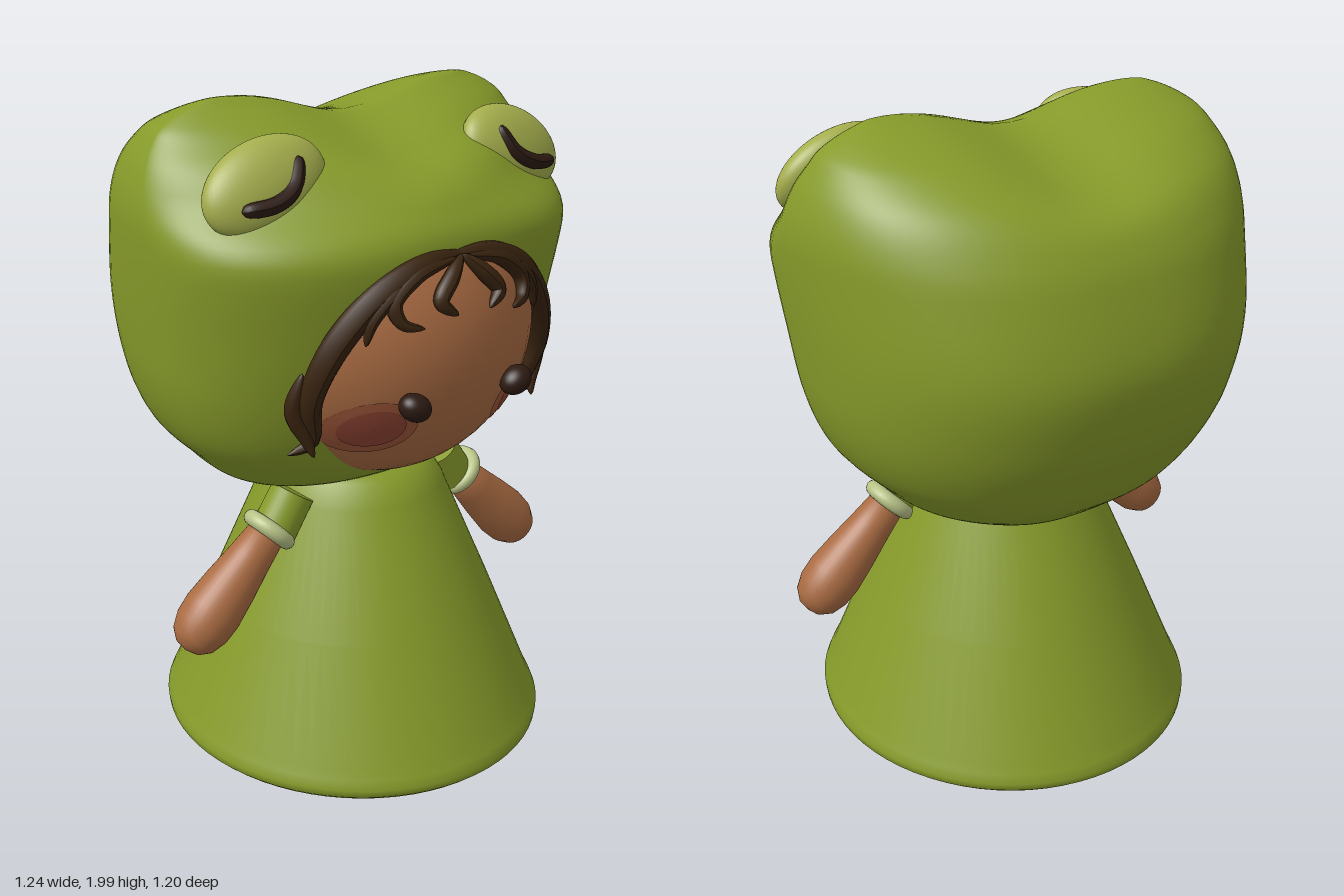
import * as THREE from 'three';

const material = (color) => new THREE.MeshStandardMaterial({ color, roughness: 0.8, side: THREE.DoubleSide });
const V = (x, y, z) => new THREE.Vector3(x, y, z);
const smooth = THREE.MathUtils.smoothstep;

export function createModel() {
  const model = new THREE.Group();
  model.name = 'hoodedDoll';
  const green = material(0x869a2a);
  const paleGreen = material(0xa4ad4c);
  const cuffGreen = material(0xb9c488);
  const skin = material(0xa96b42);
  const hairBrown = material(0x38230f);
  const dark = material(0x2c1a12);

  const add = (name, geometry, mat, parent = model) => {
    const mesh = new THREE.Mesh(geometry, mat);
    mesh.name = name;
    parent.add(mesh);
    return mesh;
  };
  const lathe = (points, segments = 48) => new THREE.LatheGeometry(points.map(([r, y]) => new THREE.Vector2(r, y)), segments);
  const ellipsoid = (name, mat, pos, size) => {
    const mesh = add(name, new THREE.SphereGeometry(1, 48, 32), mat);
    mesh.position.set(...pos);
    mesh.scale.set(...size);
    return mesh;
  };

  // Hood: lofted rings, each row is height, half width, front z, back z
  add('hood', hoodGeometry([
    [0.9, 0.001, -0.12, -0.122], [0.905, 0.08, -0.05, -0.18], [0.93, 0.2, 0.05, -0.29],
    [1.0, 0.37, 0.21, -0.39], [1.06, 0.44, 0.28, -0.455], [1.15, 0.52, 0.335, -0.51],
    [1.28, 0.57, 0.38, -0.565], [1.46, 0.595, 0.425, -0.6], [1.66, 0.612, 0.45, -0.555],
    [1.76, 0.61, 0.4, -0.51], [1.84, 0.588, 0.325, -0.45], [1.9, 0.555, 0.23, -0.36],
    [1.94, 0.52, 0.16, -0.27], [1.98, 0.44, 0.07, -0.14], [1.998, 0.34, 0.02, -0.05],
    [2.0, 0.001, -0.01, -0.012],
  ]), green);

  // Face, emerging from the front of the hood
  const faceCentre = [0, 1.42, 0.15], faceSize = [0.42, 0.41, 0.37];
  ellipsoid('face', skin, faceCentre, faceSize);
  const faceZ = (x, y) => 0.15 + 0.37 * Math.sqrt(Math.max(0, 1 - (x / 0.42) ** 2 - ((y - 1.42) / 0.41) ** 2));

  // Tapered, curved strand
  const strand = (name, points, radius, mat, taper) => {
    const curve = new THREE.CatmullRomCurve3(points);
    const n = 32, sides = 10;
    const geometry = new THREE.TubeGeometry(curve, n, radius, sides);
    const pos = geometry.attributes.position, p = V(0, 0, 0);
    for (let i = 0; i <= n; i++) {
      const centre = curve.getPointAt(i / n);
      for (let j = 0; j <= sides; j++) {
        const k = i * (sides + 1) + j;
        p.fromBufferAttribute(pos, k).sub(centre).multiplyScalar(taper(i / n)).add(centre);
        pos.setXYZ(k, p.x, p.y, p.z);
      }
    }
    geometry.computeVertexNormals();
    return add(name, geometry, mat);
  };
  const pointed = (t) => 0.06 + 0.94 * Math.pow(Math.sin(Math.PI * t), 0.6);
  const blunt = (t) => Math.sqrt(Math.max(0.01, 1 - Math.pow(Math.abs(2 * t - 1), 8)));

  for (const [side, s] of [['left', 1], ['right', -1]]) {
    // Cheek blush, laid over the face
    [[0.1, 0x9c5639], [0.07, 0x8e4433]].forEach(([radius, color], layer) => {
      const blush = new THREE.CircleGeometry(radius, 32);
      const pos = blush.attributes.position;
      const fan = new THREE.RingGeometry(0.001, radius, 32, 6);
      const fp = fan.attributes.position;
      for (let i = 0; i < fp.count; i++) {
        const x = s * 0.225 + fp.getX(i), y = 1.24 + fp.getY(i) * 0.8;
        fp.setXYZ(i, x, y, faceZ(x, y) + 0.003 + layer * 0.003);
      }
      fan.computeVertexNormals();
      add(side + 'Cheek', fan, material(color));
    });

    // Eyes
    const eye = ellipsoid(side + 'Eye', dark, [s * 0.163, 1.31, 0.503], [0.044, 0.035, 0.038]);
    eye.rotation.z = s * 0.5;

    // Hair framing the face
    strand(side + 'SideHair', [
      V(-s * 0.02, 1.655, 0.455), V(s * 0.1, 1.645, 0.455), V(s * 0.22, 1.585, 0.435), V(s * 0.325, 1.46, 0.395),
      V(s * 0.368, 1.33, 0.36), V(s * 0.35, 1.21, 0.335), V(s * 0.41, 1.185, 0.32),
    ], 0.036, hairBrown, pointed);
    strand(side + 'HairCurl', [
      V(s * 0.385, 1.4, 0.35), V(s * 0.4, 1.3, 0.33), V(s * 0.37, 1.22, 0.345), V(s * 0.36, 1.18, 0.36),
    ], 0.022, hairBrown, pointed);

    // Fringe
    [
      [[0.02, 1.65], [0.13, 1.625], [0.2, 1.565], [0.19, 1.52], [0.14, 1.505]],
      [[0, 1.655], [0.05, 1.61], [0.09, 1.56], [0.05, 1.525]],
      [[0.1, 1.63], [0.2, 1.585], [0.25, 1.53], [0.27, 1.47]],
    ].forEach((path) => strand(side + 'Fringe',
      path.map(([x, y]) => V(s * x, y, faceZ(x, y) + 0.016)), 0.022, hairBrown, pointed));

    // Sleepy eyes on top of the hood
    const hoodEye = ellipsoid(side + 'HoodEye', paleGreen, [s * 0.385, 1.82, 0.205], [0.168, 0.112, 0.065]);
    hoodEye.rotation.set(-0.38, s * 0.14, -s * 0.3);
    strand(side + 'HoodEyelid', [
      V(s * 0.31, 1.89, 0.235), V(s * 0.345, 1.825, 0.268), V(s * 0.4, 1.795, 0.278), V(s * 0.485, 1.785, 0.262),
    ], 0.02, dark, blunt);

    // Arm with sleeve and cuff
    const arm = new THREE.Group();
    arm.name = side + 'Arm';
    arm.position.set(s > 0 ? 0.315 : -0.335, 0.88, 0.115);
    arm.rotation.z = s * 0.78;
    model.add(arm);
    add('forearm', lathe([[0, -0.385], [0.035, -0.377], [0.062, -0.352], [0.077, -0.31], [0.08, -0.26],
      [0.072, -0.18], [0.06, -0.09], [0.05, 0], [0, 0.02]], 32), skin, arm);
    add('cuff', new THREE.TorusGeometry(0.056, 0.022, 12, 36).rotateX(Math.PI / 2), cuffGreen, arm);
    const sleeve = add('sleeve', new THREE.CylinderGeometry(0.06, 0.062, 0.13, 32), green, arm);
    sleeve.position.set(-s * 0.005, 0.055, 0);
    sleeve.rotation.z = -s * 0.2;

    // Leg
    const leg = add(side + 'Leg', lathe([[0, 0], [0.035, 0.007], [0.06, 0.03], [0.076, 0.08],
      [0.09, 0.16], [0.096, 0.25], [0, 0.25]], 32), skin);
    leg.position.set(s > 0 ? 0.153 : -0.19, s > 0 ? 0 : 0.015, 0.025);
  }

  // Dress with a rounded hem and closed base
  const dress = add('dress', lathe([[0, 0.22], [0.49, 0.22], [0.49, 0.215], [0.52, 0.217], [0.533, 0.23], [0.535, 0.25],
    [0.525, 0.275], [0.51, 0.305], [0.39, 0.6], [0.25, 0.93], [0.215, 0.99], [0.17, 1.01], [0, 1.01]], 72), green);
  dress.position.z = 0.03;
  dress.scale.z = 1.06;

  return model;
}

// Loft through rounded-square rings, flattened at the brow and dipped between the two top bumps
function hoodGeometry(rows, steps = 90, sides = 96) {
  const outline = new THREE.CatmullRomCurve3(rows.map(([y, w]) => new THREE.Vector3(w, y, 0)), false, 'catmullrom');
  const depth = new THREE.CatmullRomCurve3(rows.map(([, , f, b]) => new THREE.Vector3(f, b, 0)), false, 'catmullrom');
  const positions = [], index = [];
  const power = (v, e) => Math.sign(v) * Math.pow(Math.abs(v), 2 / e);
  for (let i = 0; i <= steps; i++) {
    const { x: w, y } = outline.getPoint(i / steps);
    const { x: front, y: back } = depth.getPoint(i / steps);
    const mid = back + (front - back) * 0.58;
    for (let j = 0; j < sides; j++) {
      const a = (j / sides) * Math.PI * 2, c = Math.cos(a), d = Math.sin(a);
      const e = d > 0 ? 2.3 - 0.7 * smooth(y, 1.64, 1.8) : 2.3;
      const x = w * power(c, e);
      const z = mid + (d > 0 ? front - mid : mid - back) * power(d, e);
      const dip = 0.07 * Math.exp(-((x / 0.2) ** 2)) * smooth(y, 1.75, 1.96);
      positions.push(x, y - dip, z);
      if (i < steps) {
        const p = i * sides + j, q = i * sides + (j + 1) % sides;
        index.push(p, p + sides, q + sides, p, q + sides, q);
      }
    }
  }
  const geometry = new THREE.BufferGeometry();
  geometry.setAttribute('position', new THREE.Float32BufferAttribute(positions, 3));
  geometry.setIndex(index);
  geometry.computeVertexNormals();
  return geometry;
}
